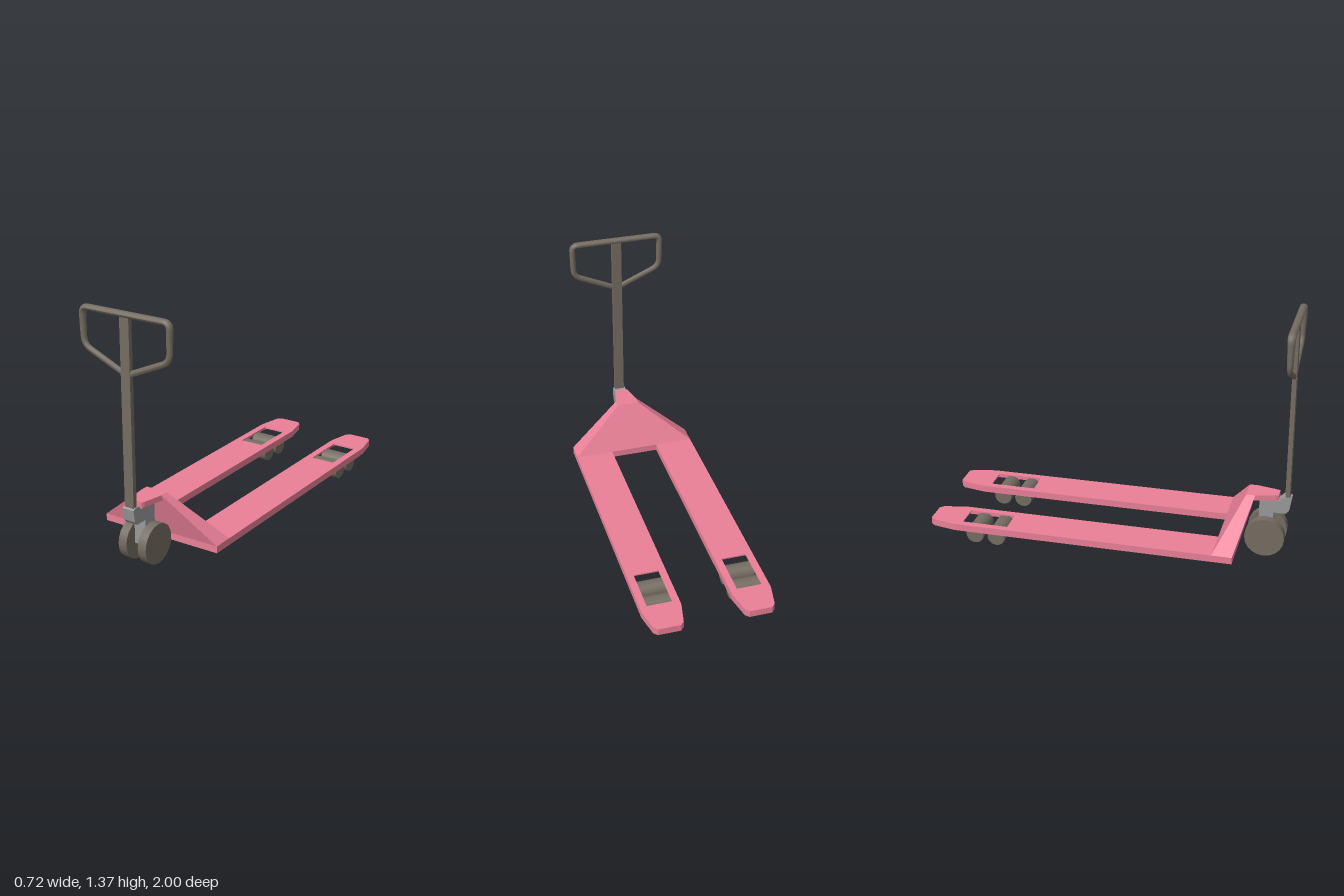
import * as THREE from 'three';

const pink = new THREE.MeshStandardMaterial({ color: 0xea8097 });
const shellPink = new THREE.MeshStandardMaterial({ color: 0xea8097, side: THREE.DoubleSide });
const dark = new THREE.MeshStandardMaterial({ color: 0x746c62 });
const steel = new THREE.MeshStandardMaterial({ color: 0x999999 });

const v2 = (pts) => pts.map(([x, y]) => new THREE.Vector2(x, y));
const v3 = (x, y, z) => new THREE.Vector3(x, y, z);

function add(parent, name, geometry, material, x = 0, y = 0, z = 0) {
  const mesh = new THREE.Mesh(geometry, material);
  mesh.name = name;
  mesh.position.set(x, y, z);
  parent.add(mesh);
}

// Flat plate drawn in (x, z), with its top face at y = 0
function plate(outline, depth, hole) {
  const shape = new THREE.Shape(v2(outline));
  if (hole) shape.holes.push(new THREE.Path(v2(hole)));
  return new THREE.ExtrudeGeometry(shape, { depth, bevelEnabled: false }).rotateX(Math.PI / 2);
}

// Cylinder lying along x
const roll = (r, width, sides) => new THREE.CylinderGeometry(r, r, width, sides).rotateZ(Math.PI / 2);

// Outline of a fork, inset by t except at its open front end
function forkOutline(t) {
  const side = [[0.11 - t, 0.62], [0.11 - t, -0.845], [0.083 - t, -0.978 + t * 0.5], [0.063 - t * 0.6, -1 + t]];
  return [...side, ...side.map(([x, z]) => [-x, z]).reverse()];
}

// Fork: a top sheet with a window, a U-shaped rim below it and two rollers
function makeFork(side) {
  const fork = new THREE.Group();
  fork.name = side > 0 ? 'leftFork' : 'rightFork';
  fork.position.x = side * 0.25;
  const window = [[-0.07, -0.548], [0.07, -0.548], [0.07, -0.81], [-0.07, -0.81]];
  add(fork, 'forkTop', plate(forkOutline(0), 0.008, window.reverse()), pink, 0, 0.115);
  const rim = [...forkOutline(0), ...forkOutline(0.009).reverse()];
  add(fork, 'forkRim', plate(rim, 0.031), pink, 0, 0.107);
  for (const z of [-0.735, -0.61]) add(fork, 'loadRoller', roll(0.051, 0.175, 20), dark, -side * 0.002, 0.051, z);
  return fork;
}

// Open-bottomed chassis shell lofted through rectangles [half width, y, back z, front z]
function makeChassis() {
  const rings = [[0.36, 0.076, 0.62, 0.733], [0.36, 0.115, 0.62, 0.733], [0.065, 0.355, 0.755, 0.804]]
    .map(([w, y, back, front]) => [v3(-w, y, front), v3(w, y, front), v3(w, y, back), v3(-w, y, back)]);
  const points = [];
  const quad = (a, b, c, d) => points.push(a, b, c, a, c, d);
  for (let r = 0; r < 2; r++) {
    for (let i = 0; i < 4; i++) {
      if (r === 0 && i === 2) continue; // the forks open into the shell here
      const j = (i + 1) % 4;
      quad(rings[r][i], rings[r][j], rings[r + 1][j], rings[r + 1][i]);
    }
  }
  quad(...rings[2]);
  // Lip between the forks
  quad(v3(0.14, 0.076, 0.62), v3(-0.14, 0.076, 0.62), v3(-0.14, 0.115, 0.62), v3(0.14, 0.115, 0.62));
  const geometry = new THREE.BufferGeometry().setFromPoints(points);
  geometry.computeVertexNormals();
  return geometry;
}

function makeGrip() {
  // Rounded loop: straight runs joined by curved corners
  const corners = [
    [v3(0.261, 1.16, 0), 0.045], [v3(0.265, 1.357, 0), 0.035],
    [v3(-0.265, 1.357, 0), 0.035], [v3(-0.261, 1.16, 0), 0.045],
  ];
  const path = new THREE.CurvePath();
  const end = v3(0, 1.046, 0);
  let from = end;
  corners.forEach(([p, r], i) => {
    const before = i ? corners[i - 1][0] : end;
    const after = i < 3 ? corners[i + 1][0] : end;
    const a = p.clone().add(before.clone().sub(p).setLength(r));
    const b = p.clone().add(after.clone().sub(p).setLength(r));
    path.add(new THREE.LineCurve3(from, a));
    path.add(new THREE.QuadraticBezierCurve3(a, p, b));
    from = b;
  });
  path.add(new THREE.LineCurve3(from, end));
  const tube = new THREE.TubeGeometry(path, 140, 0.017, 10, false);
  // Thin the grip from front to back towards its lower end
  const pos = tube.attributes.position;
  for (let i = 0; i < pos.count; i++) {
    const t = (pos.getY(i) - 1.04) / 0.33;
    pos.setZ(i, pos.getZ(i) * (0.6 + 0.7 * t));
  }
  tube.computeVertexNormals();
  return tube;
}

export function createModel() {
  const model = new THREE.Group();
  model.name = 'palletTruck';

  // Forks with their load rollers
  for (const side of [1, -1]) model.add(makeFork(side));

  // Chassis and the tongue that carries the steering
  add(model, 'chassis', makeChassis(), shellPink);
  add(model, 'tongue', plate([[-0.065, 0.79], [0.065, 0.79], [0.065, 0.804], [0.04, 0.915],
    [0.032, 0.93], [-0.032, 0.93], [-0.04, 0.915], [-0.065, 0.804]], 0.031), pink, 0, 0.355);

  // Steering bracket, profile drawn in (z, y)
  const profile = new THREE.Shape(v2([[0.825, 0.1], [0.905, 0.1], [0.905, 0.248], [0.972, 0.248],
    [0.99, 0.268], [1, 0.335], [0.985, 0.344], [0.955, 0.344], [0.935, 0.322], [0.825, 0.322]]));
  const bracket = new THREE.ExtrudeGeometry(profile, { depth: 0.07, bevelEnabled: false });
  add(model, 'steeringBracket', bracket.rotateY(-Math.PI / 2), steel, 0.035);

  // Steering wheels
  for (const s of [1, -1]) add(model, 'steeringWheel', roll(0.111, 0.051, 20), dark, s * 0.0615, 0.111, 0.866);

  // Pull bar and grip loop
  add(model, 'pullBar', new THREE.BoxGeometry(0.056, 1.01, 0.025), dark, 0, 0.845, 0.977);
  add(model, 'gripLoop', makeGrip(), dark, 0, 0, 0.977);
  return model;
}
